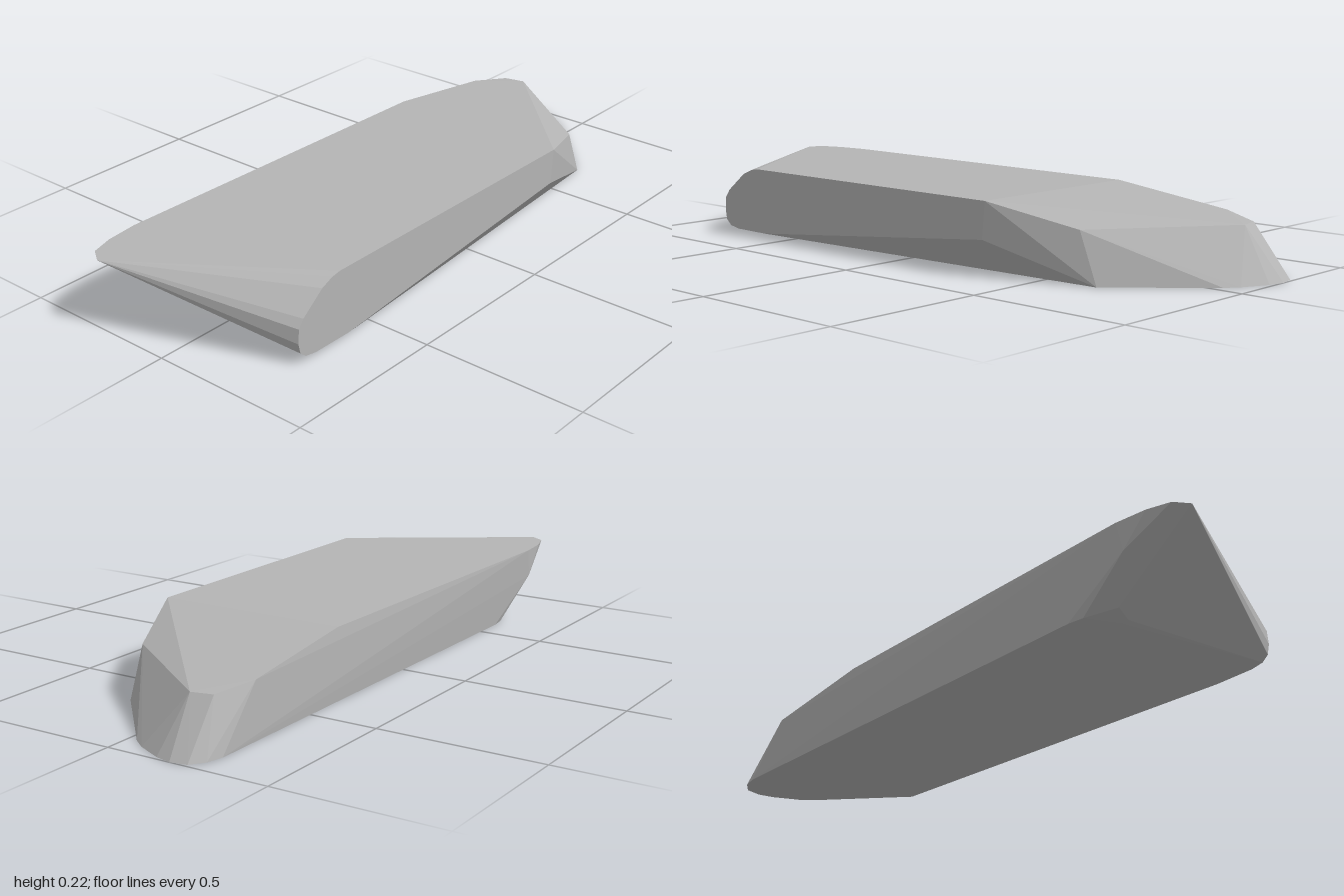
import * as THREE from 'three';
import { ConvexGeometry } from 'three/addons/geometries/ConvexGeometry.js';

export function createModel() {
  const group = new THREE.Group();
  const grey = new THREE.MeshStandardMaterial({ color: 0xb4b4b4 });
  grey.name = 'plain grey';
  const points = [];
  const add = (list) => list.forEach((p) => points.push(new THREE.Vector3(...p)));

  // Flat face on the left side, with a rounded front end: [z, y]
  const sideProfile = [
    [0.63, 0.215], [0.66, 0.21], [0.7, 0.193], [0.775, 0.135], [0.793, 0.11], [0.797, 0.067],
    [0.79, 0.036], [0.77, 0.019], [0.73, 0.012], [0.6, 0.011], [-0.35, 0.105], [-0.36, 0.215],
  ];
  add(sideProfile.map(([z, y]) => [0.308, y, z]));

  // Top deck: right edge and pointed front
  const deckEdge = [[-0.29, -0.36], [-0.308, 0.8], [-0.297, 0.9], [-0.275, 0.97], [-0.23, 1]];
  add(deckEdge.map(([x, z]) => [x, 0.215, z]));

  // Rear slope, falling from the deck to the tail
  add([[0.2, 0.15, -0.61], [-0.29, 0.166, -0.75], [-0.245, 0.15, -0.87], [-0.18, 0.15, -0.885]]);

  // Flat underside with a rounded tail: [x, z]
  const underside = [
    [0.2, -0.67], [-0.03, -0.92], [-0.07, -0.95], [-0.15, -0.988], [-0.2, -1], [-0.25, -0.99],
    [-0.28, -0.95], [-0.292, -0.9], [-0.292, 0.6], [-0.285, 0.65], [-0.18, 0.7], [0.21, 0.68],
  ];
  add(underside.map(([x, z]) => [x, 0, z]));

  // Undercut corner below the pointed front
  add([[-0.303, 0.125, 0.82], [-0.26, 0.04, 0.73], [-0.23, 0.02, 0.73], [-0.18, 0.006, 0.715]]);

  const body = new THREE.Mesh(new ConvexGeometry(points), grey);
  body.name = 'body';
  group.add(body);
  return group;
}
